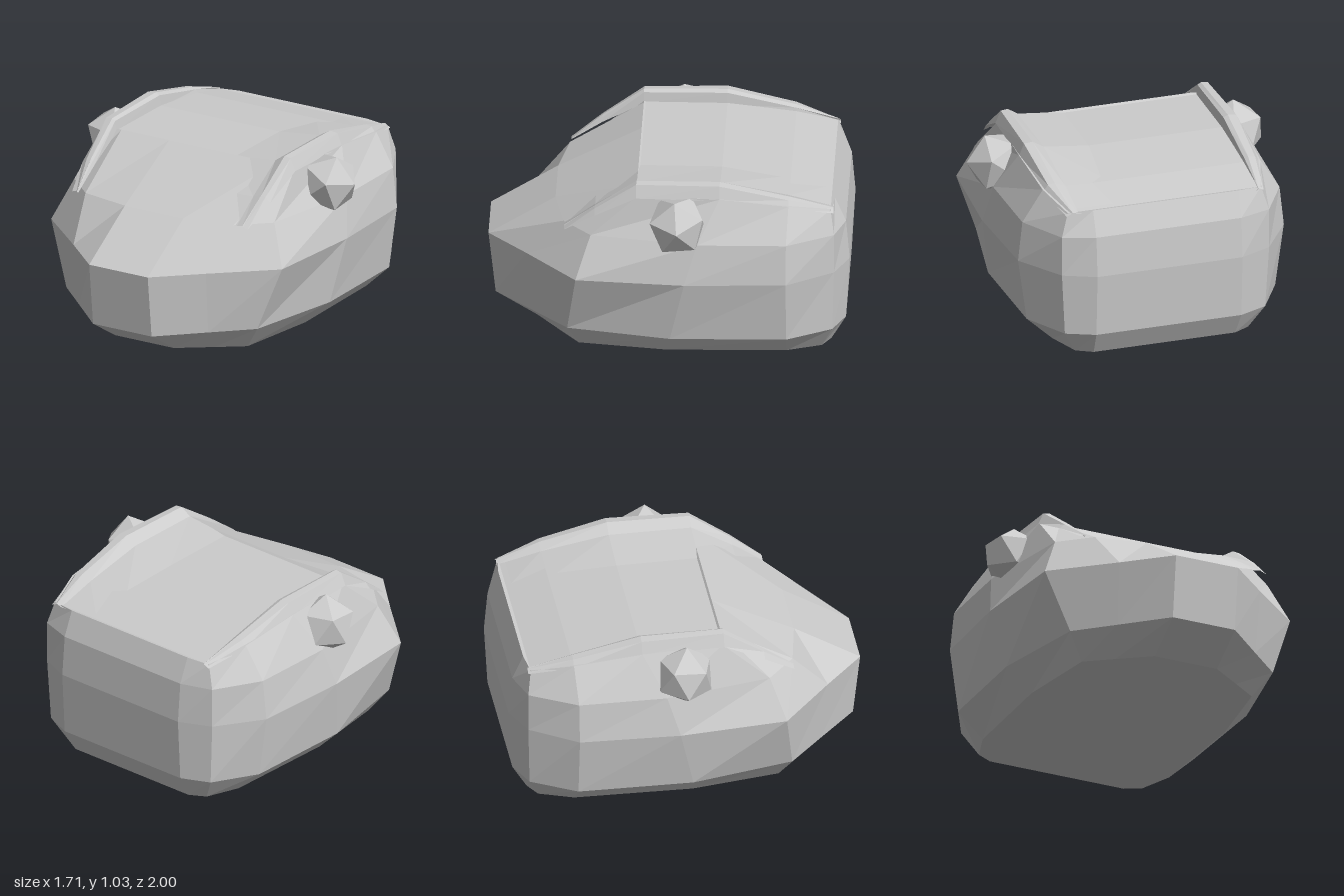
import * as THREE from 'three';

const grey = () => new THREE.MeshStandardMaterial({ color: 0xcccccc, flatShading: true, side: THREE.DoubleSide });

// Collects quads (corners counter-clockwise from outside) into a faceted mesh
function facetMesh(name, quads) {
  const pos = [];
  for (const [a, b, c, d] of quads) pos.push(...a, ...b, ...c, ...a, ...c, ...d);
  const g = new THREE.BufferGeometry();
  g.setAttribute('position', new THREE.Float32BufferAttribute(pos, 3));
  g.computeVertexNormals();
  const mesh = new THREE.Mesh(g, grey());
  mesh.name = name;
  return mesh;
}

const mirror = ([x, y, z]) => [-x, y, z];

// Half outlines [x, z] from nose to tail; the last one carries its own height
const levels = [
  { y: 0, half: [[.19, .73], [.37, .6], [.52, .49], [.59, 0], [.57, -.66], [.5, -.85], [.41, -.9]] },
  { y: .14, half: [[.19, .96], [.42, .74], [.62, .55], [.735, -.02], [.72, -.66], [.58, -.91], [.42, -.98]] },
  { y: .5, half: [[.19, 1], [.43, .78], [.75, .5], [.795, -.1], [.77, -.66], [.6, -.92], [.42, -1]] },
  { y: .73, half: [[.19, .63], [.48, .575], [.65, .42], [.755, -.17], [.745, -.66], [.6, -.92], [.42, -.98]] },
  { half: [[.19, .17, .97], [.5, .17, .97], [.62, .16, .96], [.645, -.29, .96], [.63, -.67, .915], [.56, -.9, .865], [.42, -.92, .87]] },
];

function buildBody() {
  const halves = levels.map(l => l.half.map(([x, z, y = l.y]) => [x, y, z]));
  const rings = halves.map(h => [...h, ...h.map(mirror).reverse()]);
  const quads = [];
  // side walls, hood and shoulders
  for (let k = 0; k + 1 < rings.length; k++) {
    const lo = rings[k], hi = rings[k + 1], n = lo.length;
    for (let i = 0; i < n; i++) {
      const j = (i + 1) % n;
      quads.push([lo[i], lo[j], hi[j], hi[i]]);
    }
  }
  // floor and roof, in strips across
  const floor = halves[0], roof = halves[halves.length - 1];
  for (let i = 0; i + 1 < roof.length; i++) {
    quads.push([roof[i], roof[i + 1], mirror(roof[i + 1]), mirror(roof[i])]);
    quads.push([mirror(floor[i]), mirror(floor[i + 1]), floor[i + 1], floor[i]]);
  }
  return facetMesh('body', quads);
}

// Raised rail along the roof edge: stations are [z, base y, crest y, outer x]
const stations = [[.57, .72, .735, .57], [.4, .83, .865, .61], [.17, .95, 1.025, .63],
  [-.29, .95, 1.03, .645], [-.67, .9, .945, .63], [-.915, .85, .87, .57]];

function buildRail(name, side, ramp) {
  const sections = stations.map(([z, yb, yt, xo]) => {
    const w = xo - .63, rise = yt - yb;
    const inner = ramp
      ? [[.5, yb + rise * .5, z], [.24, yb + .01, z]]
      : [[.54, yt - .012, z], [.53, yb, z]];
    return [[xo, yb, z], [.60 + w, yt - .005, z], [.56 + w * .4, yt, z], ...inner]
      .map(([x, y, zz]) => [x * side, y, zz]);
  });
  const quads = [];
  for (let s = 0; s + 1 < sections.length; s++) {
    for (let i = 0; i + 1 < sections[s].length; i++) {
      const q = [sections[s][i], sections[s + 1][i], sections[s + 1][i + 1], sections[s][i + 1]];
      quads.push(side > 0 ? q : q.reverse());
    }
  }
  return facetMesh(name, quads);
}

// Faceted knob with one vertex pointing sideways
function buildKnob(name, side, tilt) {
  const g = new THREE.IcosahedronGeometry(.172, 0);
  g.rotateX(Math.atan(2 / (1 + Math.sqrt(5))));
  g.rotateY(Math.PI / 2);
  g.rotateX(-.54);
  g.rotateZ(tilt);
  const knob = new THREE.Mesh(g, grey());
  knob.name = name;
  knob.position.set(side * .69, .828, -.06);
  return knob;
}

export function createModel() {
  const model = new THREE.Group();
  model.name = 'model';
  const shell = new THREE.Group();
  shell.name = 'shell';
  shell.position.x = -.012;
  shell.add(buildBody(), buildRail('leftRail', 1, true), buildRail('rightRail', -1, false));
  model.add(shell, buildKnob('leftKnob', 1, .1), buildKnob('rightKnob', -1, .45));
  return model;
}
